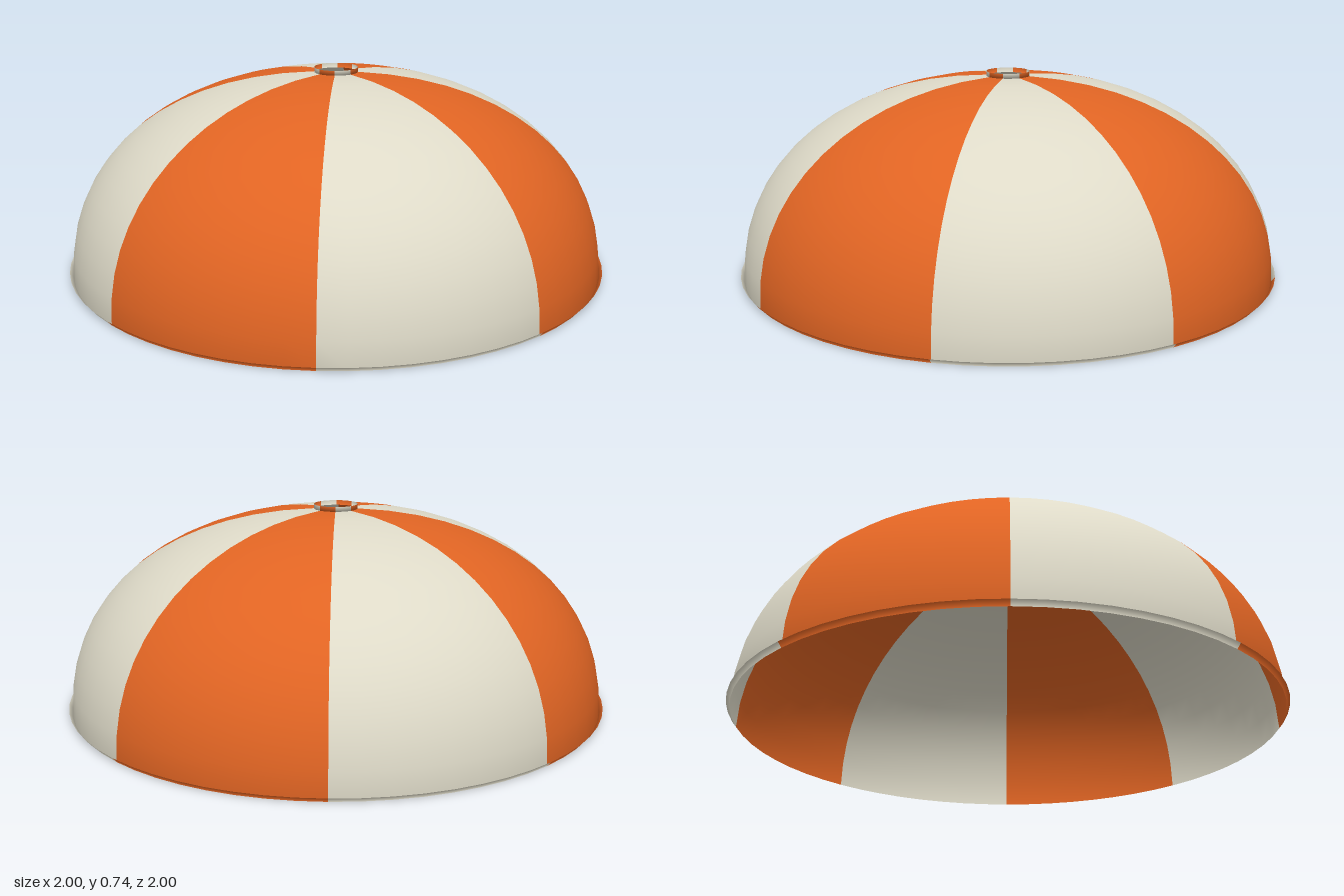
import * as THREE from 'three';

const PANELS = 8;
const SEGMENTS = 64;
const RINGS = 14;

export function createModel() {
  const group = new THREE.Group();
  group.name = 'canopy';

  const cream = new THREE.MeshStandardMaterial({ color: 0xdedac8, side: THREE.DoubleSide });
  cream.name = 'cream cloth';
  const orange = new THREE.MeshStandardMaterial({ color: 0xe06423, side: THREE.DoubleSide });
  orange.name = 'orange cloth';

  // Profile: flared hem, slightly squared elliptical dome, raised collar round the vent
  const profile = [new THREE.Vector2(1.0, 0.017)];
  const radius = 0.986, height = 0.722, vent = 0.08, power = 2 / 2.18;
  const last = Math.acos(Math.pow(vent / radius, 1 / power));
  for (let i = 0; i <= RINGS; i++) {
    const a = (i / RINGS) * last;
    profile.push(new THREE.Vector2(
      radius * Math.pow(Math.cos(a), power),
      height * Math.pow(Math.sin(a), power)
    ));
  }
  profile.push(new THREE.Vector2(vent, 0.738));

  const geometry = new THREE.LatheGeometry(profile, SEGMENTS);

  // Turn the hem to face down and the collar to face the vent
  const index = geometry.index;
  const strips = profile.length - 1;
  for (let s = 0; s < SEGMENTS; s++) {
    for (const strip of [0, strips - 1]) {
      for (let t = 0; t < 2; t++) {
        const k = (s * strips + strip) * 6 + t * 3;
        const b = index.getX(k + 1);
        index.setX(k + 1, index.getX(k + 2));
        index.setX(k + 2, b);
      }
    }
  }
  geometry.computeVertexNormals();

  // Alternating gores
  const perPanel = (SEGMENTS / PANELS) * strips * 6;
  for (let p = 0; p < PANELS; p++) geometry.addGroup(p * perPanel, perPanel, p % 2);

  const dome = new THREE.Mesh(geometry, [cream, orange]);
  dome.name = 'stripedDome';
  group.add(dome);
  return group;
}
